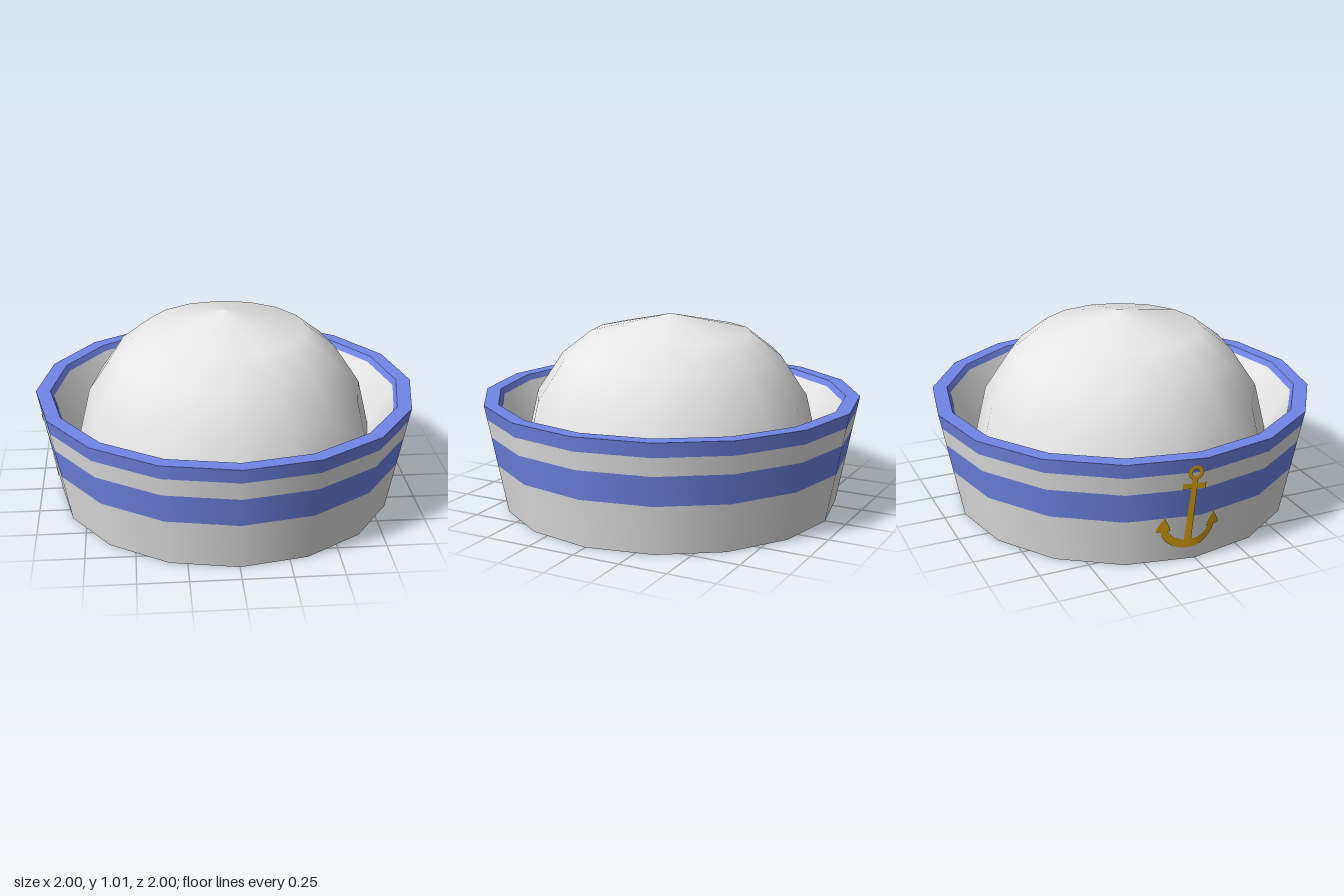
import * as THREE from 'three';

const SIDES = 16;
const wallRadius = (y) => 0.89 + 0.19 * y;

export function createModel() {
  const hat = new THREE.Group();
  hat.name = 'sailorHat';

  const material = (name, color) => {
    const m = new THREE.MeshStandardMaterial({ color, side: THREE.DoubleSide });
    m.name = name;
    return m;
  };
  const white = material('white cloth', 0xeeeeee);
  const blue = material('blue stripe', 0x7287e9);
  const gold = material('gold anchor', 0xe0a810);

  const add = (name, geometry, mat) => {
    const mesh = new THREE.Mesh(geometry, mat);
    mesh.name = name;
    hat.add(mesh);
  };
  const lathe = (name, profile, mat) =>
    add(name, new THREE.LatheGeometry(profile.map(([r, y]) => new THREE.Vector2(r, y)), SIDES), mat);

  // Flared brim wall, one ring per stripe
  const levels = [0, 0.255, 0.41, 0.505, 0.58];
  const names = ['lowerBrim', 'wideStripe', 'upperBrim', 'topStripe'];
  names.forEach((name, i) => {
    const [a, b] = [levels[i], levels[i + 1]];
    lathe(name, [[wallRadius(a), a], [wallRadius(b), b]], i % 2 ? blue : white);
  });

  // Flat rim, its folded inner edge, and the lining down to the crown
  lathe('rimTop', [[1, 0.58], [0.925, 0.58]], blue);
  lathe('rimInnerEdge', [[0.925, 0.58], [0.908, 0.55]], blue);
  lathe('brimLining', [[0.908, 0.55], [0.78, 0.33]], white);

  // Rounded crown
  lathe('crown', [[0.78, 0.33], [0.72, 0.58], [0.58, 0.79], [0.425, 0.91], [0, 1.007]], white);

  // Point on the faceted wall around -x, pushed out or in by offset
  const onWall = (z, y, offset) => [
    -(wallRadius(y) - Math.abs(z) * Math.tan(Math.PI / SIDES) + offset), y, z];

  // Flat ribbon along a (z, y) path with a width at each point, laid on the wall
  const ribbon = (name, path, widths, offset) => {
    const positions = [];
    const index = [];
    path.forEach(([z, y], i) => {
      const p = path[Math.max(i - 1, 0)];
      const n = path[Math.min(i + 1, path.length - 1)];
      const length = Math.hypot(n[0] - p[0], n[1] - p[1]);
      const h = widths[i] / 2 / length;
      const dz = (n[1] - p[1]) * h;
      const dy = (p[0] - n[0]) * h;
      positions.push(...onWall(z + dz, y + dy, offset), ...onWall(z - dz, y - dy, offset));
      if (i) {
        const k = i * 2;
        index.push(k - 2, k - 1, k, k, k - 1, k + 1);
      }
    });
    const g = new THREE.BufferGeometry();
    g.setAttribute('position', new THREE.Float32BufferAttribute(positions, 3));
    g.setIndex(index);
    g.computeVertexNormals();
    add(name, g, gold);
  };

  const arc = (cz, cy, rz, ry, from, to, n) => Array.from({ length: n + 1 }, (_, i) => {
    const t = from + (to - from) * i / n;
    return [cz + rz * Math.cos(t), cy + ry * Math.sin(t)];
  });

  // Anchor on the -x side, shown on both faces of the wall
  const c = -0.05;
  for (const offset of [0.005, -0.005]) {
    const ring = arc(c, 0.505, 0.027, 0.03, 0, Math.PI * 2, 12);
    ribbon('anchorRing', ring, ring.map(() => 0.02), offset);
    ribbon('anchorShaft', [[c, 0.48], [c, 0.3], [c, 0.1]], [0.026, 0.03, 0.036], offset);
    ribbon('anchorStock', [[c - 0.055, 0.43], [c, 0.43], [c + 0.055, 0.43]], [0.035, 0.025, 0.035], offset);
    const arms = arc(c, 0.21, 0.125, 0.115, Math.PI, Math.PI * 2, 14);
    ribbon('anchorArms', arms, arms.map((_, i) => 0.028 + 0.02 * Math.sin(Math.PI * i / 14)), offset);
    for (const s of [-1, 1]) {
      ribbon('anchorFluke', [[c + s * 0.125, 0.18], [c + s * 0.125, 0.2], [c + s * 0.125, 0.255]],
        [0.07, 0.065, 0.004], offset);
    }
  }

  return hat;
}
